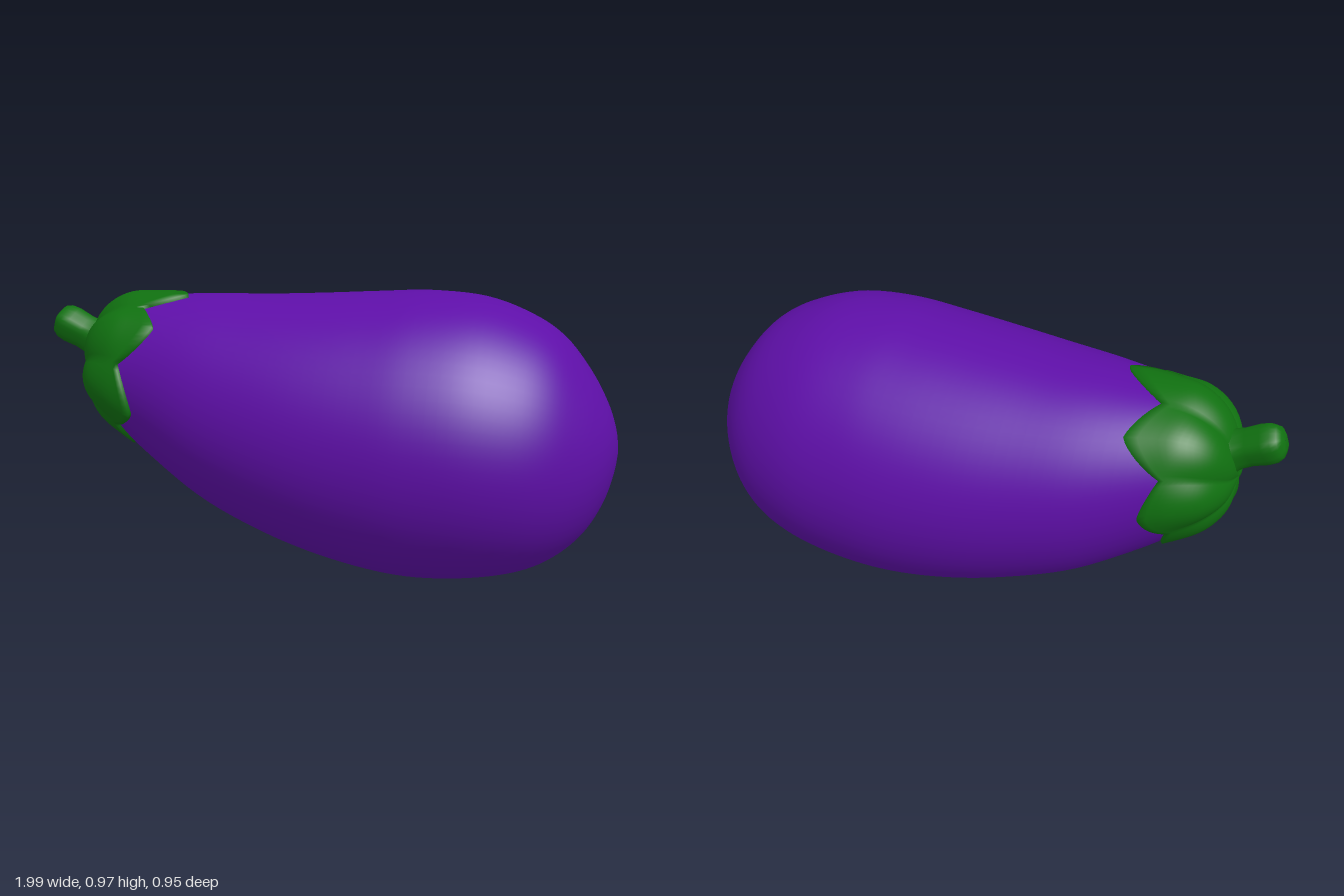
import * as THREE from 'three';

// Fruit cross-sections: x, top y, bottom y, half width, centre z
const SECTIONS = [
  [-0.845, 0.66, 0.66, 0, -0.02],
  [-0.83, 0.75, 0.57, 0.09, -0.02],
  [-0.78, 0.84, 0.50, 0.175, -0.02],
  [-0.70, 0.897, 0.43, 0.232, -0.02],
  [-0.60, 0.917, 0.345, 0.272, -0.018],
  [-0.40, 0.93, 0.21, 0.35, -0.013],
  [-0.20, 0.935, 0.12, 0.405, -0.008],
  [0.00, 0.945, 0.055, 0.446, -0.005],
  [0.20, 0.958, 0.013, 0.47, -0.003],
  [0.37, 0.967, 0.0, 0.475, 0],
  [0.55, 0.953, 0.014, 0.459, 0],
  [0.70, 0.902, 0.047, 0.413, 0],
  [0.81, 0.833, 0.102, 0.346, 0],
  [0.90, 0.725, 0.185, 0.25, 0],
  [0.96, 0.62, 0.29, 0.155, 0],
  [0.99, 0.535, 0.39, 0.07, 0],
  [1.00, 0.465, 0.465, 0, 0],
];
const LAST = SECTIONS.length - 1;

// Calyx leaves: angle from the top in degrees, tip x, x of the notch that follows
const LEAVES = [
  [10, -0.46, -0.60], [45, -0.53, -0.65], [107, -0.60, -0.69], [160, -0.66, -0.71],
  [212, -0.66, -0.69], [264, -0.61, -0.66], [318, -0.53, -0.61],
];

// Smooth interpolation of the section table
function section(s) {
  const i = Math.min(Math.floor(s), LAST - 1), t = s - i;
  const row = k => SECTIONS[Math.max(0, Math.min(LAST, k))];
  const [a, b, c, d] = [row(i - 1), row(i), row(i + 1), row(i + 2)];
  return b.map((p, k) => {
    const m0 = (c[k] - a[k]) / 2, m1 = (d[k] - p) / 2;
    return p + t * (m0 + t * (3 * (c[k] - p) - 2 * m0 - m1 + t * (2 * (p - c[k]) + m0 + m1)));
  });
}

function fruitPoint(s, angle) {
  const [x, top, bottom, half, cz] = section(s);
  return new THREE.Vector3(
    x,
    (top + bottom) / 2 + Math.cos(angle) * (top - bottom) / 2,
    cz + Math.sin(angle) * half
  );
}

function fruitNormal(s, angle) {
  if (s < 0.02) return new THREE.Vector3(-1, 0, 0);
  const e = 0.01;
  const du = fruitPoint(s + e, angle).sub(fruitPoint(s - e, angle));
  const da = fruitPoint(s, angle + e).sub(fruitPoint(s, angle - e));
  return da.cross(du).normalize();
}

// Section parameter at which the fruit reaches a given x
function paramAt(x) {
  let lo = 0, hi = LAST;
  for (let i = 0; i < 30; i++) {
    const mid = (lo + hi) / 2;
    if (section(mid)[0] < x) lo = mid; else hi = mid;
  }
  return lo;
}

// Closed-loop skin over rings of points, rings running towards +x
function skin(rings, columns, pointAt) {
  const positions = [], index = [];
  for (let i = 0; i <= rings; i++) {
    for (let j = 0; j < columns; j++) {
      positions.push(...pointAt(i, j).toArray());
      if (i === rings) continue;
      const k = (j + 1) % columns;
      const a = i * columns + j, b = i * columns + k;
      index.push(a, b, a + columns, b, b + columns, a + columns);
    }
  }
  const geometry = new THREE.BufferGeometry();
  geometry.setAttribute('position', new THREE.Float32BufferAttribute(positions, 3));
  geometry.setIndex(index);
  geometry.computeVertexNormals();
  return geometry;
}

function fruitGeometry() {
  const rings = LAST * 5, columns = 72;
  return skin(rings, columns, (i, j) => fruitPoint(
    THREE.MathUtils.clamp(i / rings * LAST, 0.004, LAST - 0.004), j / columns * Math.PI * 2));
}

// Puffy pointed leaves laid just over the neck, rim tucked into the fruit
function calyxGeometry() {
  const perLeaf = 16, rings = 22, columns = [];
  LEAVES.forEach(([angle, tip, notch], n) => {
    const next = LEAVES[(n + 1) % LEAVES.length];
    const end = next[0] + (n === LEAVES.length - 1 ? 360 : 0);
    for (let j = 0; j < perLeaf; j++) {
      const p = j / perLeaf;
      const reach = 1 - Math.pow(2 * Math.min(p, 1 - p), 1.25);
      const x = THREE.MathUtils.lerp(notch, p < 0.5 ? tip : next[1], reach);
      columns.push({
        angle: THREE.MathUtils.degToRad(THREE.MathUtils.lerp(angle, end, p)),
        edge: paramAt(x),
        puff: Math.abs(Math.cos(p * Math.PI)),
      });
    }
  });
  return skin(rings, columns.length, (i, j) => {
    const { angle, edge, puff } = columns[j];
    const v = Math.min(1, i / (rings - 1));
    const s = Math.max(0.004, edge * v);
    const lift = i === rings ? -0.012
      : 0.012 + 0.018 * puff * Math.sin(Math.PI * Math.pow(v, 1.3));
    return fruitPoint(s, angle).addScaledVector(fruitNormal(s, angle), lift);
  });
}

// Stubby stalk with a rounded end and a flared foot: distance along, radius
function stemGeometry() {
  const profile = [
    [0.212, 0.001], [0.21, 0.03], [0.2, 0.05], [0.18, 0.061], [0.15, 0.064],
    [0.1, 0.06], [0.06, 0.063], [0.03, 0.074], [0, 0.095], [-0.04, 0.13],
  ];
  const columns = 24;
  const axis = new THREE.Vector3(-0.9, 0.43, 0).normalize();
  const up = new THREE.Vector3(0.43, 0.9, 0).normalize();
  const base = new THREE.Vector3(-0.79, 0.735, -0.015);
  return skin(profile.length - 1, columns, (i, j) => {
    const [along, radius] = profile[i], angle = j / columns * Math.PI * 2;
    const r = radius * (1 + 0.05 * Math.cos(angle * 5));
    const p = base.clone().addScaledVector(axis, along).addScaledVector(up, Math.cos(angle) * r);
    p.z += Math.sin(angle) * r;
    return p;
  });
}

export function createModel() {
  const purple = new THREE.MeshStandardMaterial({ color: 0x5e0fa8 });
  purple.name = 'purple skin';
  const green = new THREE.MeshStandardMaterial({ color: 0x107010 });
  green.name = 'leaf green';

  const model = new THREE.Group();
  model.name = 'eggplant';
  const add = (name, geometry, material) => {
    const mesh = new THREE.Mesh(geometry, material);
    mesh.name = name;
    model.add(mesh);
  };
  add('fruit', fruitGeometry(), purple);
  add('calyx', calyxGeometry(), green);
  add('stem', stemGeometry(), green);
  return model;
}
